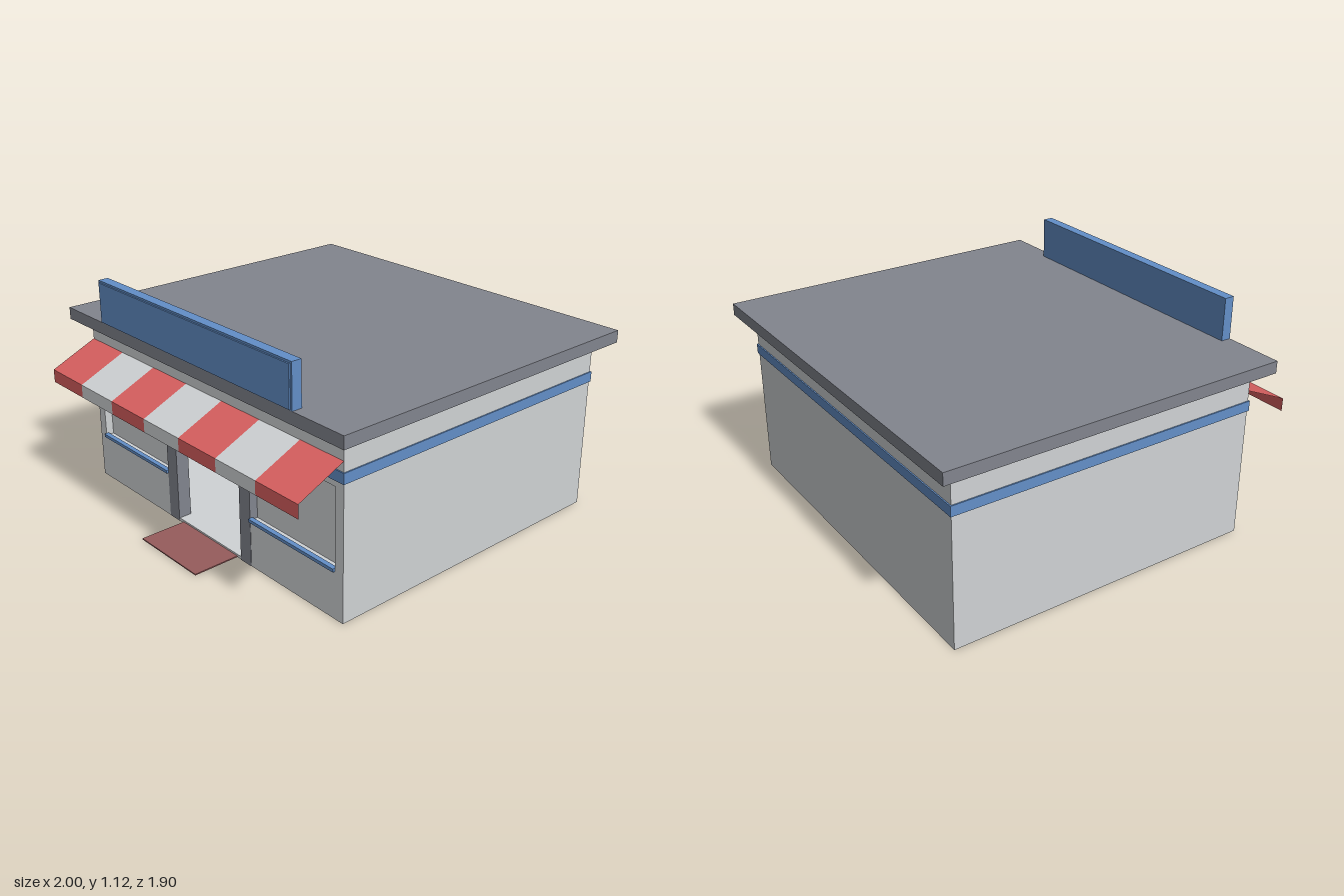
import * as THREE from 'three';

const mat = (name, color) => {
  const m = new THREE.MeshStandardMaterial({ color });
  m.name = name;
  return m;
};

export function createModel() {
  const wall = mat('light grey', 0xd0d3d5);
  const grey = mat('dark grey', 0x82858e);
  const blue = mat('blue', 0x638fc8);
  const brown = mat('mat brown', 0x965c5c);
  const red = mat('awning red', 0xd86060);
  const cloth = mat('awning white', 0xd0d3d5);
  red.side = cloth.side = THREE.DoubleSide;

  const shop = new THREE.Group();
  shop.name = 'shop';

  // Box given by its extents on each axis
  const box = (name, m, [x0, x1], [y0, y1], [z0, z1], parent = shop) => {
    const mesh = new THREE.Mesh(new THREE.BoxGeometry(x1 - x0, y1 - y0, z1 - z0), m);
    mesh.position.set((x0 + x1) / 2, (y0 + y1) / 2, (z0 + z1) / 2);
    mesh.name = name;
    parent.add(mesh);
    return mesh;
  };
  // The same box on the left and the right
  const pair = (name, m, [x0, x1], y, z) => {
    box(name + 'Left', m, [x0, x1], y, z);
    box(name + 'Right', m, [-x1, -x0], y, z);
  };

  const W = 0.92, F = 0.715, B = -0.87, H = 0.85, T = 0.04;
  const front = [F - 0.065, F];

  // Hollow shell
  box('floor', wall, [-W, W], [0, 0.015], [B, F]);
  box('backWall', wall, [-W, W], [0.015, H], [B, B + T]);
  pair('sideWall', wall, [W - T, W], [0.015, H], [B + T, front[0]]);

  // Front wall around the windows and the open doorway
  box('frontLintel', wall, [-W, W], [0.62, H], front);
  pair('frontCorner', wall, [0.87, W], [0.015, 0.62], front);
  pair('frontParapet', wall, [0.315, 0.87], [0.015, 0.235], front);
  pair('windowPane', wall, [0.315, 0.87], [0.235, 0.62], [F - 0.05, F - 0.04]);
  pair('windowSill', blue, [0.315, 0.87], [0.23, 0.246], [F - 0.012, F + 0.012]);
  pair('doorPillar', grey, [0.24, 0.315], [0, 0.62], [front[0], F + 0.002]);

  // Blue band round the walls
  const band = [0.65, 0.7], e = 0.006;
  box('bandFront', blue, [-W - e, W + e], band, [F, F + e]);
  box('bandBack', blue, [-W - e, W + e], band, [B - e, B]);
  pair('bandSide', blue, [W, W + e], band, [B, F]);

  // Roof and sign board
  box('roof', grey, [-1, 1], [H, 0.91], [-0.95, 0.79]);
  box('signBoard', blue, [-0.7, 0.7], [0.91, 1.12], [0.74, 0.79]);
  box('signFace', blue, [-0.69, 0.69], [0.915, 1.11], [0.79, 0.797]);

  // Striped awning: slope and hanging valance
  const awning = new THREE.Group();
  awning.name = 'awning';
  shop.add(awning);
  const stripes = 7, sw = 2 * W / stripes;
  const rise = 0.105, reach = 0.235;
  for (let i = 0; i < stripes; i++) {
    const m = i % 2 ? cloth : red;
    const x = -W + (i + 0.5) * sw;
    const slope = new THREE.Mesh(new THREE.PlaneGeometry(sw, Math.hypot(rise, reach)), m);
    slope.rotation.x = -Math.atan2(reach, rise);
    slope.position.set(x, 0.645 + rise / 2, F + reach / 2);
    slope.name = 'awningSlope' + (i + 1);
    const valance = new THREE.Mesh(new THREE.PlaneGeometry(sw, 0.065), m);
    valance.position.set(x, 0.6125, F + reach);
    valance.name = 'awningValance' + (i + 1);
    awning.add(slope, valance);
  }

  // Door mat
  box('doorMat', brown, [-0.21, 0.21], [0, 0.006], [F, 0.95]);

  // Interior: shelf racks either side of the aisle, and a counter
  pair('shelfEnd', wall, [0.07, 0.077], [0.015, 0.53], [-0.2, 0]);
  pair('shelfBack', wall, [0.077, 0.65], [0.015, 0.5], [-0.11, -0.1]);
  for (let i = 0; i < 5; i++) {
    const y = 0.018 + i * 0.12;
    pair('shelf' + (i + 1), wall, [0.077, 0.65], [y, y + 0.01], [-0.2, 0]);
  }
  box('counter', blue, [0.34, 0.79], [0.015, 0.25], [0.34, 0.57]);

  return shop;
}
